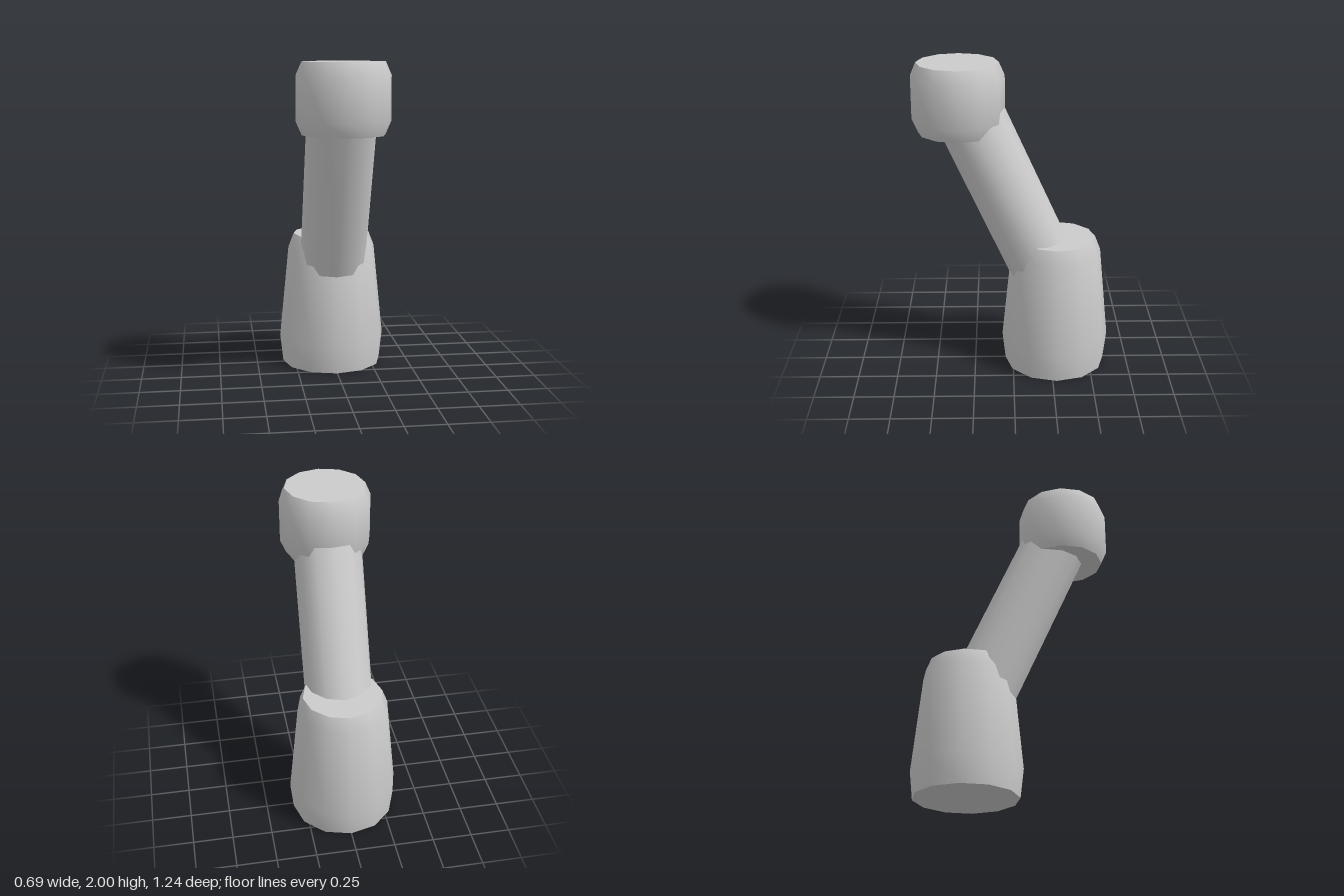
import * as THREE from 'three';
import { toCreasedNormals } from 'three/addons/utils/BufferGeometryUtils.js';

const SIDES = 12;
const material = new THREE.MeshStandardMaterial({ color: 0xcccccc });

// Closed turned solid from [radius, height] pairs, bottom to top; only the caps keep sharp edges
function turned(name, profile) {
  const points = [[0, profile[0][1]], ...profile, [0, profile[profile.length - 1][1]]]
    .map(([r, y]) => new THREE.Vector2(r, y));
  const geometry = toCreasedNormals(new THREE.LatheGeometry(points, SIDES), THREE.MathUtils.degToRad(45));
  const mesh = new THREE.Mesh(geometry, material);
  mesh.name = name;
  return mesh;
}

export function createModel() {
  const model = new THREE.Group();
  model.name = 'bentColumn';

  // Tapered base at the back
  const base = turned('base', [[0.325, 0], [0.345, 0.18], [0.285, 0.78], [0.25, 0.87]]);
  base.position.z = -0.275;

  // Chamfered head at the front
  const head = turned('head', [[0.25, 1.57], [0.285, 1.65], [0.285, 1.92], [0.25, 2]]);
  head.position.z = 0.335;

  // Leaning arm, running from the base's axis to the head's axis
  const start = new THREE.Vector3(0, 0.493, -0.275);
  const end = new THREE.Vector3(0, 1.826, 0.335);
  const arm = turned('arm', [[0.215, 0], [0.215, start.distanceTo(end)]]);
  arm.position.copy(start);
  arm.rotation.x = Math.atan2(end.z - start.z, end.y - start.y);

  model.add(base, arm, head);
  return model;
}
